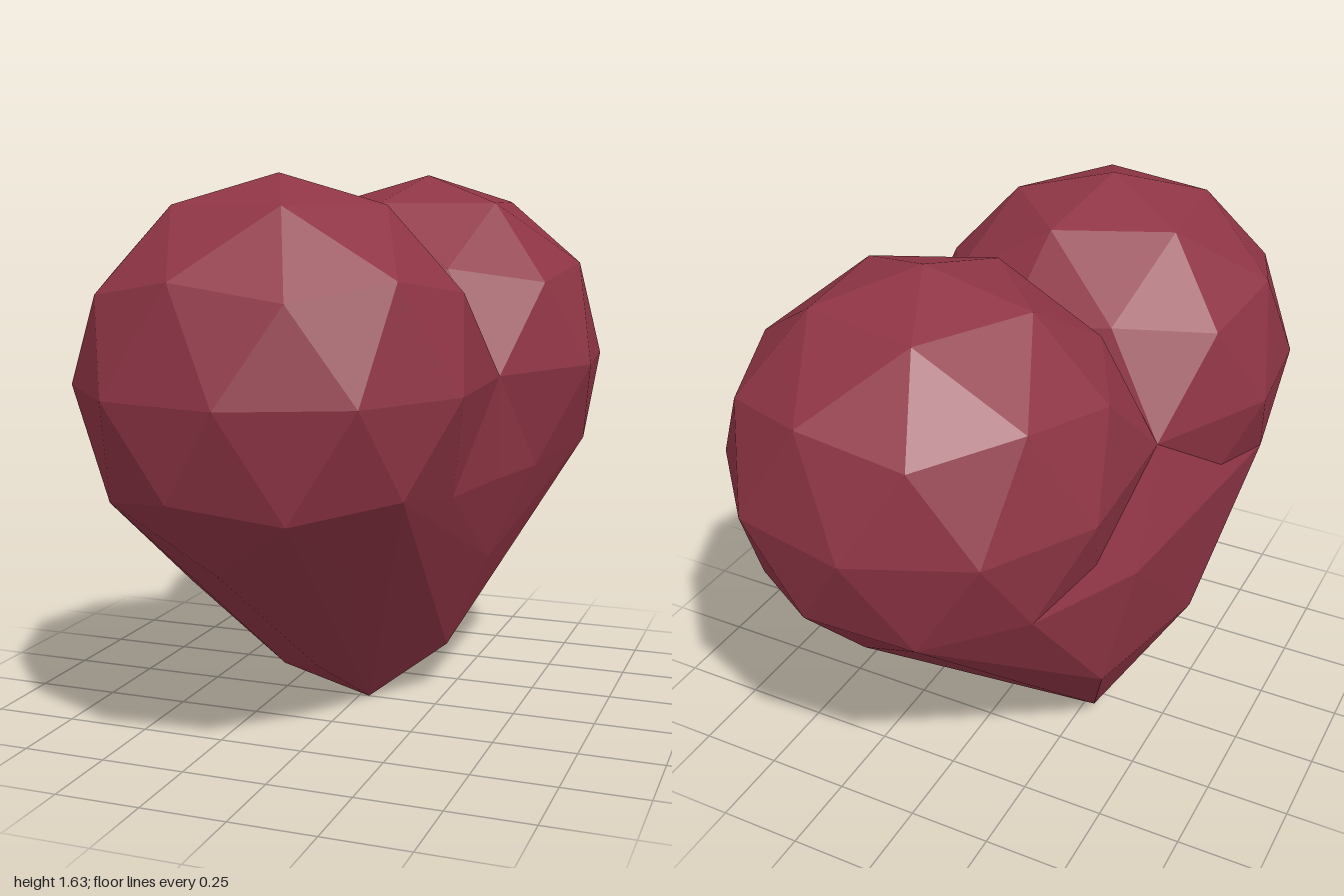
import * as THREE from 'three';
import { ConvexGeometry } from 'three/addons/geometries/ConvexGeometry.js';

const V = (x, y, z) => new THREE.Vector3(x, y, z);
const RADIUS = 0.58;
const CENTRE = V(-0.085, 1.05, 0.42);

// Corners of a once-divided icosahedron standing on its pole
function lobePoints() {
  const points = [];
  const ring = (height, radius, start, count) => {
    for (let i = 0; i < count; i++) {
      const a = THREE.MathUtils.degToRad(start + (360 / count) * i);
      points.push(V(Math.cos(a) * radius, height, Math.sin(a) * radius).multiplyScalar(RADIUS).add(CENTRE));
    }
  };
  ring(0, 1, 12, 10);
  for (const [sign, start] of [[1, 66], [-1, 102]]) {
    ring(sign, 0, 0, 1);
    ring(sign * 0.851, 0.526, start, 5);
    ring(sign * 0.526, 0.851, start + 36, 5);
    ring(sign * 0.447, 0.894, start, 5);
  }
  return points;
}

export function createModel() {
  const group = new THREE.Group();
  group.name = 'heart';
  const material = new THREE.MeshStandardMaterial({ color: 0x8f3545, flatShading: true });
  const add = (name, points) => {
    const mesh = new THREE.Mesh(new ConvexGeometry(points), material);
    mesh.name = name;
    group.add(mesh);
  };

  // Side corners where the two lobes meet
  const waist = [V(0.46, 1.05, 0.08), V(-0.46, 1.05, -0.08)];

  // Two lobes, the back one turned half round
  const front = lobePoints();
  const back = front.map((p) => V(-p.x, p.y, -p.z));
  add('frontLobe', [...front, ...waist]);
  add('backLobe', [...back, ...waist]);

  // Shared corners down both sides to the tip: hollow on the left, fuller on the right
  const spine = [
    ...waist,
    V(0.45, 0.74, 0.05), V(0.385, 0.46, -0.1), V(0.25, 0.16, -0.12),
    V(-0.56, 0.8, 0), V(-0.5, 0.75, -0.29),
    V(-0.52, 0.36, 0.13), V(-0.42, 0.36, -0.33),
    V(-0.3, 0.04, -0.1), V(0.03, 0, 0),
  ];

  // Tapered halves joining the underside of each lobe to the tip
  const underside = (lobe) => lobe.filter((p) => p.y < 0.8);
  add('frontLowerBody', [...underside(front), ...spine, V(-0.12, 0.38, 0.45), V(-0.06, 0.16, 0.22)]);
  add('backLowerBody', [...underside(back), ...spine, V(0.11, 0.4, -0.5), V(-0.08, 0.14, -0.2)]);
  return group;
}
